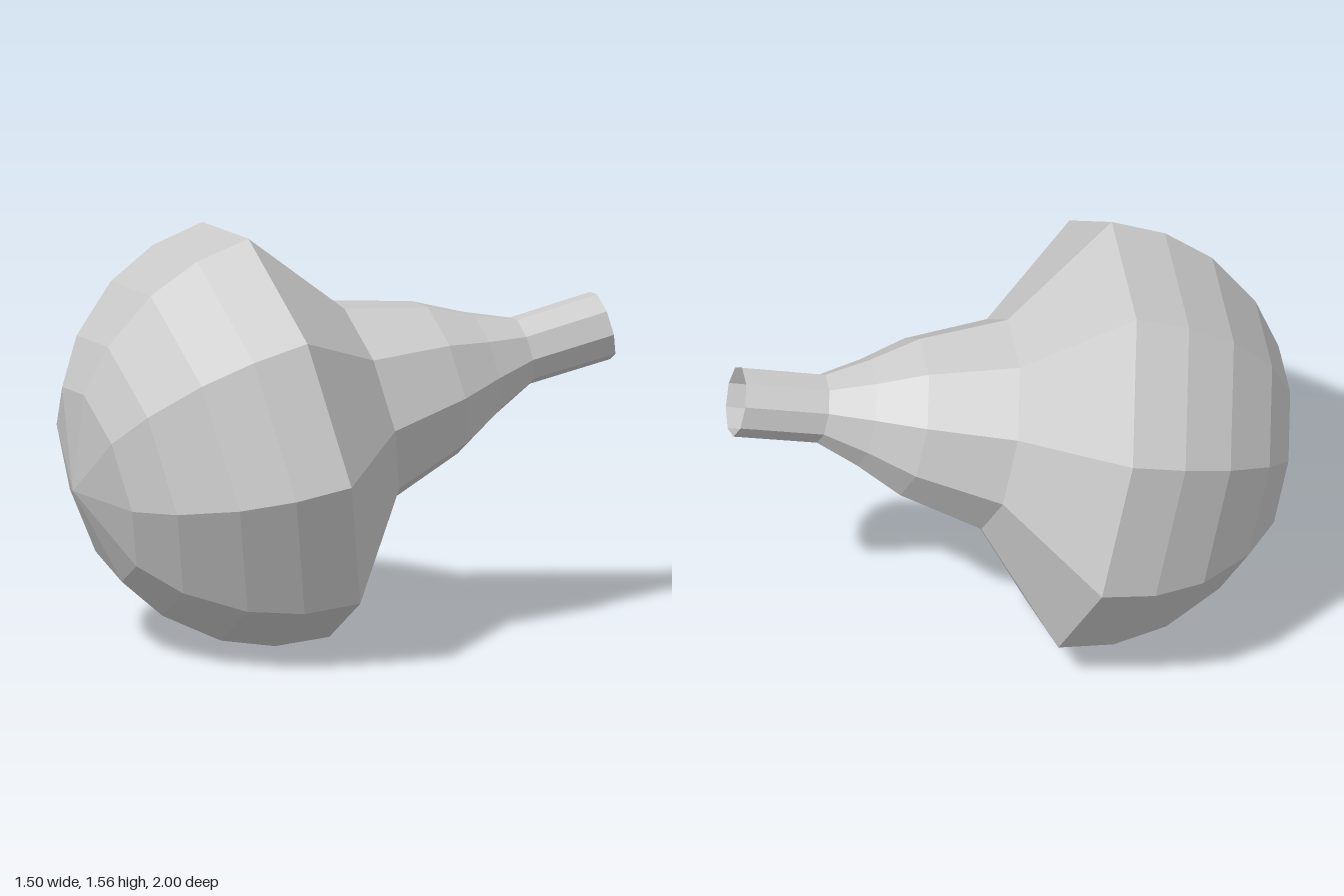
import * as THREE from 'three';

export function createModel() {
  const group = new THREE.Group();
  group.name = 'tiltedBulb';
  const material = new THREE.MeshStandardMaterial({
    color: 0xcccccc, flatShading: true, side: THREE.DoubleSide,
  });

  // Rounded bowl: rings on a sphere, given by their angle from the pole
  const R = 0.803;
  const profile = [0, 28, 42.5, 60, 75, 90].map((deg) => {
    const a = THREE.MathUtils.degToRad(deg);
    return new THREE.Vector2(R * Math.sin(a), -R * Math.cos(a));
  });

  // Shoulder tapering into an open straight neck: [radius, height]
  for (const [r, h] of [[0.395, 0.325], [0.295, 0.642], [0.2, 0.813], [0.128, 0.972], [0.13, 1.29]]) {
    profile.push(new THREE.Vector2(r, h));
  }

  const bulb = new THREE.Mesh(new THREE.LatheGeometry(profile, 9), material);
  bulb.name = 'bulb';

  // Tilt: neck points back, up and to the left; one ridge faces 'ridge'
  const axis = new THREE.Vector3(0.411, 0.224, -0.883).normalize();
  const ridge = new THREE.Vector3(0.69, 0.575, 0.46);
  const side = new THREE.Vector3().crossVectors(axis, ridge).normalize();
  ridge.crossVectors(side, axis);
  bulb.quaternion.setFromRotationMatrix(new THREE.Matrix4().makeBasis(side, axis, ridge));
  bulb.position.set(0.02, 0.81, 0.2);
  group.add(bulb);
  return group;
}
